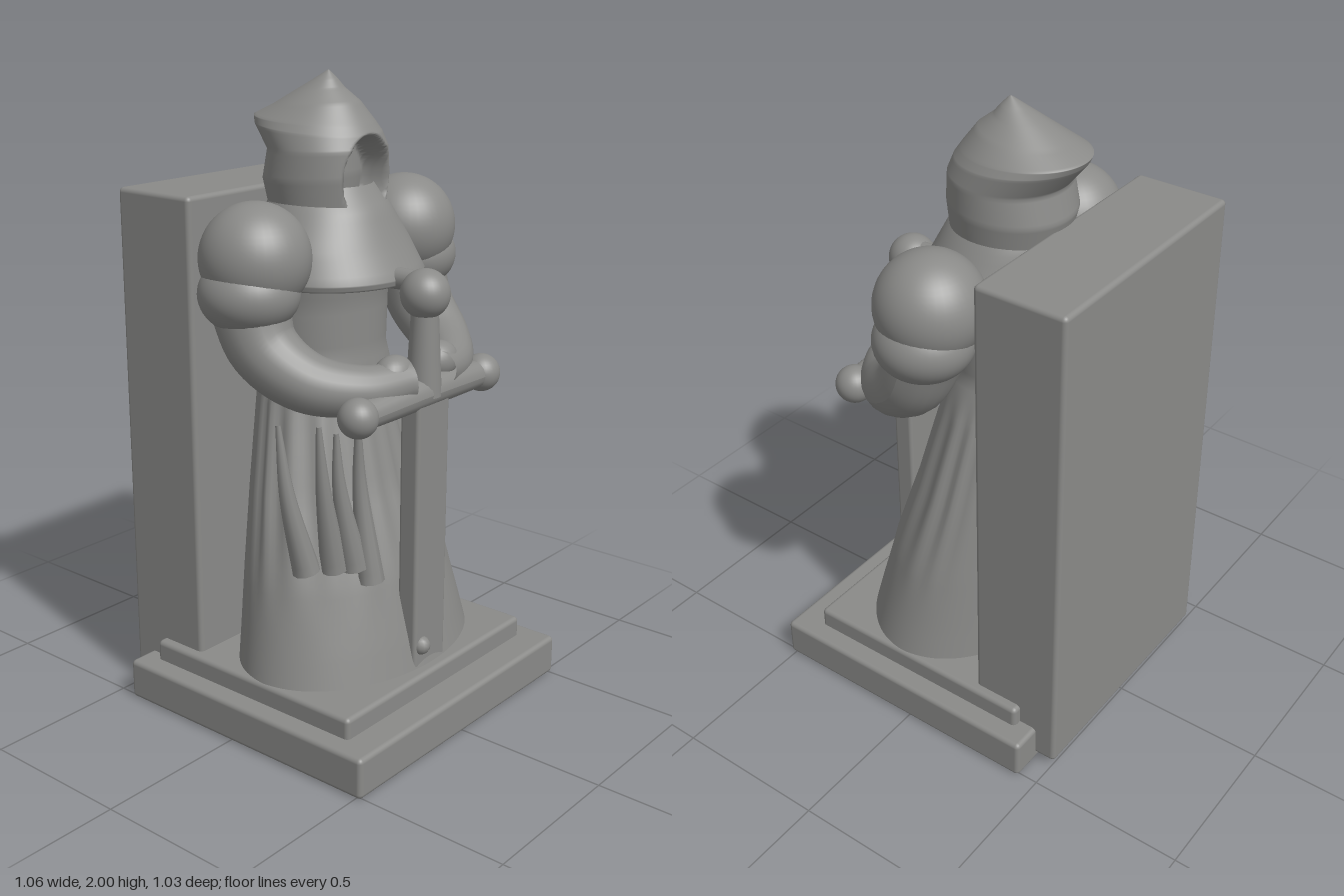
import * as THREE from 'three';
import { RoundedBoxGeometry } from 'three/addons/geometries/RoundedBoxGeometry.js';

const stone = new THREE.MeshStandardMaterial({ color: 0x8a8a88 });
stone.name = 'grey stone';

const V = (x, y, z) => new THREE.Vector3(x, y, z);
const smooth = THREE.MathUtils.smoothstep;

function add(parent, name, geometry, x = 0, y = 0, z = 0) {
  const mesh = new THREE.Mesh(geometry, stone);
  mesh.name = name;
  mesh.position.set(x, y, z);
  parent.add(mesh);
  return mesh;
}

// Rounded block given by its limits
function block(parent, name, x, y0, y1, z0, z1, r = 0.015) {
  const g = new RoundedBoxGeometry(2 * x, y1 - y0, z1 - z0, 3, r);
  return add(parent, name, g, 0, (y0 + y1) / 2, (z0 + z1) / 2);
}

// Skin over stacked oval rings: [front y, back y, half width, front z, back z]
function loft(rings, steps, sides, deform) {
  const pos = [], index = [];
  const rows = (rings.length - 1) * steps;
  for (let r = 0; r <= rows; r++) {
    const i = Math.min(Math.floor(r / steps), rings.length - 2);
    const t = r / steps - i;
    const [yf, yb, w, zf, zb] = rings[i].map((v, k) => v + (rings[i + 1][k] - v) * t);
    for (let j = 0; j < sides; j++) {
      const a = (j / sides) * Math.PI * 2;
      const c = Math.cos(a);
      const p = V(w * Math.sin(a), yb + (yf - yb) * (c + 1) / 2, (zf + zb) / 2 + c * (zf - zb) / 2);
      if (deform) deform(p, a);
      pos.push(p.x, p.y, p.z);
      if (r < rows) {
        const k = (j + 1) % sides, b = r * sides, d = b + sides;
        index.push(b + j, b + k, d + k, b + j, d + k, d + j);
      }
    }
  }
  const g = new THREE.BufferGeometry();
  g.setAttribute('position', new THREE.Float32BufferAttribute(pos, 3));
  g.setIndex(index);
  g.computeVertexNormals();
  return g;
}

// Tube whose radius follows a rule along its length
function taperedTube(points, radius, segments = 32, sides = 20) {
  const curve = new THREE.CatmullRomCurve3(points);
  const g = new THREE.TubeGeometry(curve, segments, 1, sides);
  const p = g.attributes.position, v = V(0, 0, 0);
  for (let i = 0; i < p.count; i++) {
    const t = Math.floor(i / (sides + 1)) / segments;
    const c = curve.getPointAt(t);
    v.fromBufferAttribute(p, i).sub(c).multiplyScalar(radius(t)).add(c);
    p.setXYZ(i, v.x, v.y, v.z);
  }
  g.computeVertexNormals();
  return g;
}

export function createModel() {
  const model = new THREE.Group();
  model.name = 'hooded guardian statue';

  // Plinth and backing slab
  block(model, 'plinth', 0.515, 0.005, 0.135, -0.44, 0.52);
  block(model, 'step', 0.45, 0.12, 0.2, -0.38, 0.42);
  block(model, 'backSlab', 0.42, 0.03, 1.655, -0.51, -0.21);

  // Robe with folds that fade towards the hem
  const robe = [
    [0.18, 0.18, 0.445, 0.39, -0.23], [0.3, 0.3, 0.42, 0.36, -0.23],
    [0.5, 0.5, 0.38, 0.305, -0.23], [0.75, 0.75, 0.32, 0.22, -0.23],
    [1.02, 1.02, 0.255, 0.15, -0.23], [1.17, 1.17, 0.21, 0.13, -0.23],
    [1.32, 1.32, 0.22, 0.13, -0.23], [1.48, 1.48, 0.25, 0.15, -0.23],
  ];
  add(model, 'robe', loft(robe, 6, 112, (p, a) => {
    const fold = smooth(p.y, 0.35, 0.8) * (1 - smooth(p.y, 0.95, 1.15)) * smooth(Math.cos(a), -0.6, 0);
    const k = 1 + 0.025 * fold * Math.sin(a * 20 + 2 * Math.sin(a * 3));
    p.x *= k;
    p.z *= k;
  }));

  // Loose ragged folds on the right of the robe
  [
    [V(-0.385, 1.02, 0.1), V(-0.37, 0.8, 0.12), V(-0.32, 0.55, 0.15)],
    [V(-0.32, 1.02, 0.2), V(-0.3, 0.82, 0.2), V(-0.25, 0.55, 0.2)],
    [V(-0.265, 0.99, 0.22), V(-0.25, 0.82, 0.22), V(-0.2, 0.55, 0.24)],
    [V(-0.2, 1.02, 0.25), V(-0.18, 0.82, 0.24), V(-0.16, 0.5, 0.27)],
  ].forEach((pts) => add(model, 'raggedFold', taperedTube(pts, (t) => 0.008 + 0.035 * t, 16, 10)));

  // Shoulder mantle, closed underneath
  const mantle = [
    [1.42, 1.42, 0.15, 0.1, -0.15], [1.39, 1.39, 0.275, 0.25, -0.22],
    [1.41, 1.41, 0.28, 0.255, -0.22], [1.5, 1.5, 0.25, 0.205, -0.22],
    [1.6, 1.6, 0.195, 0.155, -0.22], [1.67, 1.67, 0.15, 0.1, -0.2],
  ];
  add(model, 'mantle', loft(mantle, 4, 64));

  // Hood with a swept-back peak and a hollow face opening
  const hood = [
    [1.52, 1.52, 0.19, 0.13, -0.2], [1.6, 1.6, 0.178, 0.14, -0.215],
    [1.7, 1.68, 0.19, 0.15, -0.235], [1.78, 1.77, 0.185, 0.145, -0.215],
    [1.82, 1.845, 0.177, 0.13, -0.275], [1.85, 1.865, 0.162, 0.11, -0.285],
    [1.91, 1.895, 0.115, 0.065, -0.22], [1.95, 1.94, 0.065, 0.015, -0.14],
    [1.975, 1.97, 0.035, -0.005, -0.085], [2.0, 2.0, 0.002, -0.03, -0.035],
  ];
  add(model, 'hood', loft(hood, 8, 128, (p) => {
    if (p.z < 0) return;
    const d = Math.hypot(p.x / 0.108, (p.y - 1.695) / 0.132);
    p.z -= 0.1 * (1 - smooth(d, 0.72, 1.0));
  }));

  // Puffed shoulders and arms, mirrored
  for (const s of [1, -1]) {
    const arm = new THREE.Group();
    arm.name = s > 0 ? 'leftArm' : 'rightArm';
    model.add(arm);
    add(arm, 'upperPuff', new THREE.SphereGeometry(0.165, 40, 28), s * 0.35, 1.492, -0.012);
    const low = add(arm, 'lowerPuff', new THREE.SphereGeometry(0.15, 40, 28), s * 0.38, 1.395, -0.01);
    low.scale.set(1, 0.8, 1);
    const path = [
      V(s * 0.375, 1.38, -0.02), V(s * 0.375, 1.24, 0.04), V(s * 0.33, 1.15, 0.16),
      V(s * 0.22, 1.12, 0.27), V(s * 0.07, 1.13, 0.335),
    ];
    add(arm, 'forearm', taperedTube(path, (t) => 0.12 - 0.06 * t));
    const hand = add(arm, 'hand', new THREE.SphereGeometry(0.07, 24, 18), s * 0.11, 1.15, 0.31);
    hand.scale.set(1, 0.85, 0.8);
  }

  // Sword held point down
  const sword = new THREE.Group();
  sword.name = 'sword';
  model.add(sword);
  add(sword, 'pommel', new THREE.SphereGeometry(0.075, 32, 24), 0, 1.378, 0.338);
  add(sword, 'grip', new THREE.CylinderGeometry(0.04, 0.055, 0.28, 24), 0, 1.21, 0.338);
  const guard = [V(-0.3, 1.07, 0.335), V(0, 1.08, 0.34), V(0.3, 1.07, 0.335)];
  add(sword, 'crossguard', taperedTube(guard, (t) => 0.042 + 0.008 * Math.cos((t - 0.5) * Math.PI)));
  for (const s of [1, -1]) {
    add(sword, 'guardBall', new THREE.SphereGeometry(0.06, 28, 20), s * 0.305, 1.07, 0.335);
  }
  block(sword, 'blade', 0.078, 0.19, 1.08, 0.31, 0.38, 0.012);
  add(sword, 'chippedPoint', new THREE.SphereGeometry(0.03, 12, 8), -0.04, 0.27, 0.375);

  // Stone bridge from pommel to chest
  const bridge = add(model, 'pommelBridge', new THREE.CylinderGeometry(0.03, 0.035, 0.14, 16), 0, 1.41, 0.26);
  bridge.rotation.x = Math.PI / 2;

  return model;
}
